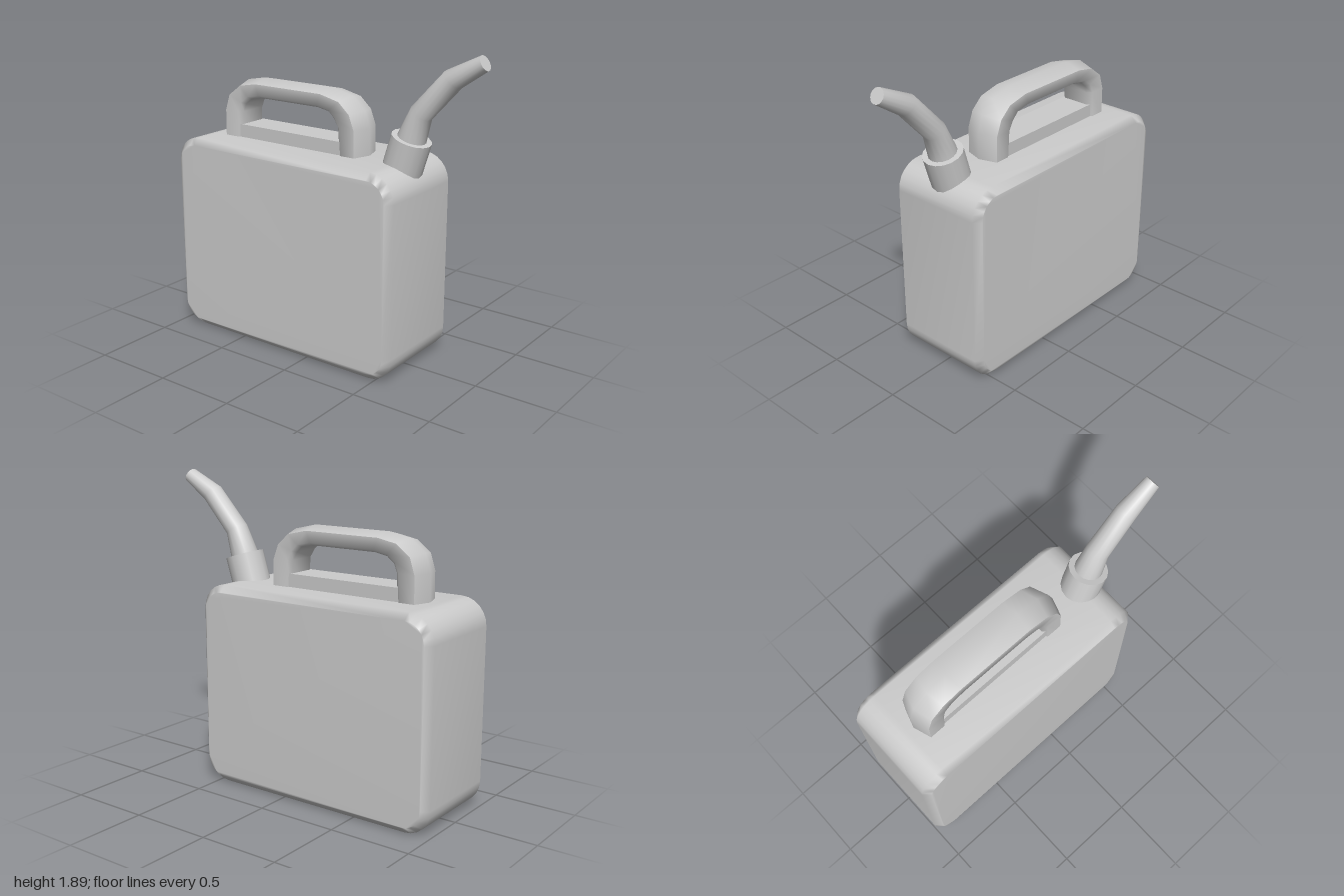
import * as THREE from 'three';
import { mergeVertices, toCreasedNormals } from 'three/addons/utils/BufferGeometryUtils.js';

const material = new THREE.MeshStandardMaterial({ color: 0xcccccc });

function part(name, geometry) {
  const mesh = new THREE.Mesh(geometry, material);
  mesh.name = name;
  return mesh;
}

// Skin a list of equal-sized rings (each counter-clockwise about the travel direction), capped at both ends
function loft(rings, crease) {
  const n = rings[0].length, last = rings.length - 1;
  const points = rings.flat(), index = [];
  for (let i = 0; i < last; i++) {
    for (let j = 0; j < n; j++) {
      const a = i * n + j, b = i * n + (j + 1) % n;
      index.push(a, b, a + n, b, b + n, a + n);
    }
  }
  for (let j = 1; j < n - 1; j++) {
    index.push(0, j + 1, j, last * n, last * n + j, last * n + j + 1);
  }
  const geometry = new THREE.BufferGeometry().setFromPoints(points);
  geometry.setIndex(index);
  return toCreasedNormals(geometry, crease);
}

// Tank: rounded side outline extruded across x with a chamfered rim
function tankGeometry() {
  const back = -1, front = 0.61, top = 1.24, r = 0.16, bevel = 0.04, width = 0.65;
  const s = new THREE.Shape();
  s.absarc(front - r, r, r, -Math.PI / 2, 0);
  s.absarc(front - r, top - r, r, 0, Math.PI / 2);
  s.absarc(back + r, top - r, r, Math.PI / 2, Math.PI);
  s.absarc(back + r, r, r, Math.PI, Math.PI * 1.5);
  s.closePath();
  const raw = new THREE.ExtrudeGeometry(s, {
    depth: width - 2 * bevel, curveSegments: 3,
    bevelSize: bevel, bevelThickness: bevel, bevelOffset: -bevel, bevelSegments: 1,
  });
  raw.translate(0, 0, bevel - width / 2).rotateY(-Math.PI / 2);
  raw.deleteAttribute('uv');
  raw.deleteAttribute('normal');
  const geometry = mergeVertices(raw, 1e-4);
  geometry.computeVertexNormals();
  return geometry;
}

// Handle: ridged section swept between an outer and an inner arch
function handleGeometry() {
  // outer z, outer y, inner z, inner y
  const stations = [
    [0.25, 1.2, 0.1, 1.2], [0.25, 1.4, 0.085, 1.4], [0.215, 1.5, 0.055, 1.45],
    [0.13, 1.575, 0.02, 1.485], [-0.02, 1.61, -0.06, 1.5],
    [-0.53, 1.61, -0.49, 1.5], [-0.665, 1.585, -0.57, 1.485],
    [-0.765, 1.51, -0.615, 1.45], [-0.8, 1.4, -0.635, 1.4], [-0.8, 1.2, -0.645, 1.2],
  ];
  // x offset and fraction from outer to inner
  const section = [[0, 0], [0.11, 0.23], [0.11, 0.85], [0.085, 1], [-0.085, 1], [-0.11, 0.85], [-0.11, 0.23]];
  return loft(stations.map(([oz, oy, iz, iy]) => section.map(([x, t]) =>
    new THREE.Vector3(x, oy + (iy - oy) * t, oz + (iz - oz) * t))), 1.0);
}

// Spout: tapering bent tube given by its lower and upper side edges
function spoutGeometry() {
  // front z, front y, back z, back y, half width
  const stations = [
    [0.6, 1.3, 0.435, 1.355, 0.085], [0.615, 1.36, 0.455, 1.415, 0.083],
    [0.65, 1.5, 0.535, 1.57, 0.07], [0.835, 1.7, 0.74, 1.79, 0.064],
    [0.995, 1.81, 0.95, 1.89, 0.046],
  ];
  const sides = 16;
  return loft(stations.map(([fz, fy, bz, by, r]) => Array.from({ length: sides }, (_, j) => {
    const a = j / sides * Math.PI * 2, c = Math.cos(a) / 2;
    return new THREE.Vector3(Math.sin(a) * r, (fy + by) / 2 + (fy - by) * c, (fz + bz) / 2 + (fz - bz) * c);
  })), 1.0);
}

export function createModel() {
  const group = new THREE.Group();
  group.name = 'jerrycan';
  group.add(part('tank', tankGeometry()));
  group.add(part('handle', handleGeometry()));

  // Rail joining the feet of the handle
  const rail = part('handleRail', new THREE.BoxGeometry(0.2, 0.12, 0.78));
  rail.position.set(0, 1.26, -0.275);
  group.add(rail);

  // Collar leaning forward at the tank's shoulder
  const collar = part('spoutCollar', new THREE.CylinderGeometry(0.118, 0.118, 0.26, 16));
  collar.position.set(0, 1.261, 0.494);
  collar.rotation.x = 0.305;
  group.add(collar);

  group.add(part('spout', spoutGeometry()));
  return group;
}
